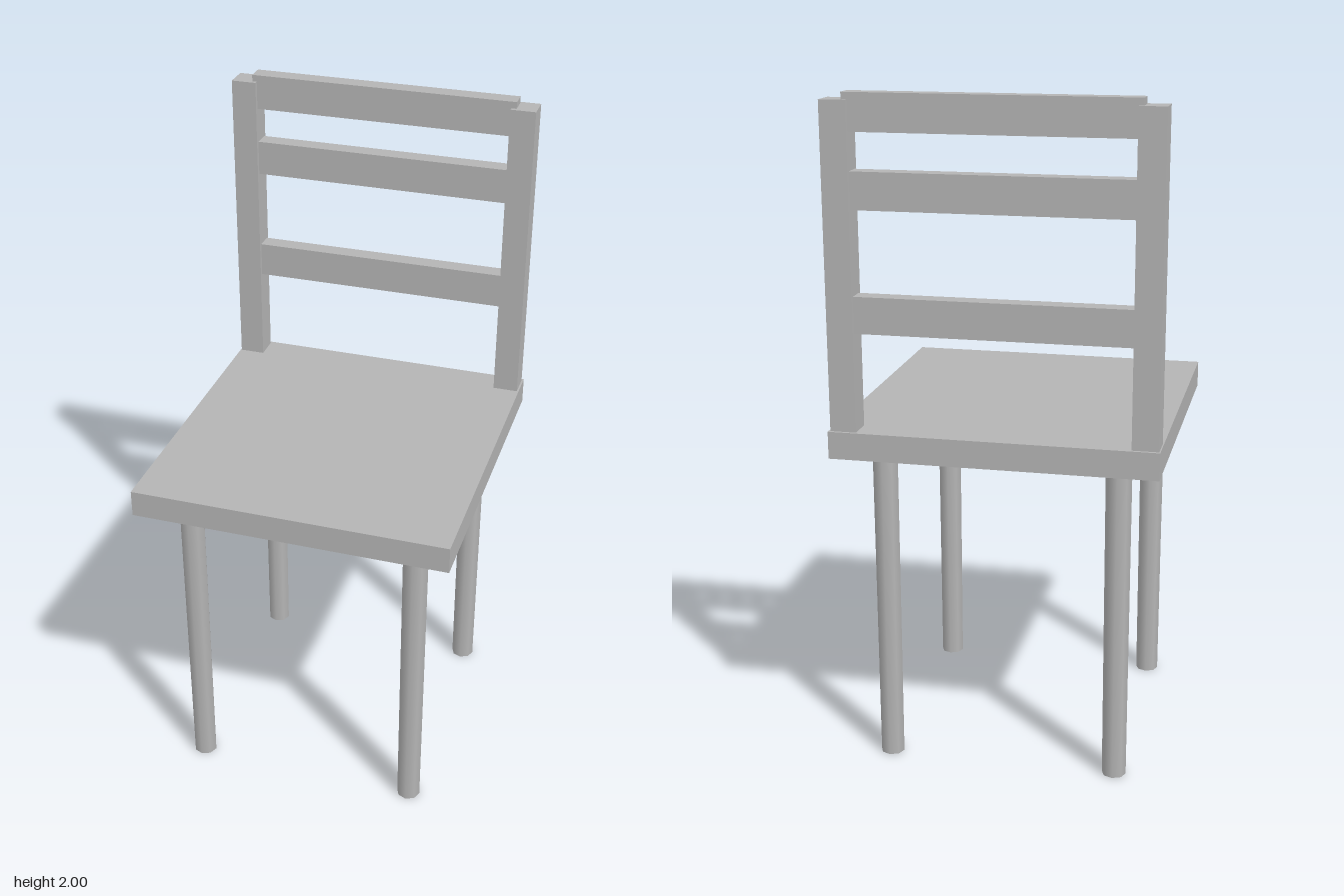
import * as THREE from 'three';

export function createModel() {
  const chair = new THREE.Group();
  chair.name = 'chair';
  const grey = new THREE.MeshStandardMaterial({ color: 0xb4b4b4 });
  grey.name = 'grey';

  function add(name, geometry, x, y, z) {
    const mesh = new THREE.Mesh(geometry, grey);
    mesh.name = name;
    mesh.position.set(x, y, z);
    chair.add(mesh);
    return mesh;
  }

  // Seat slab
  add('seat', new THREE.BoxGeometry(0.945, 0.08, 0.988), 0, 1.015, 0);

  // Round legs with a slight taper
  const leg = new THREE.CylinderGeometry(0.038, 0.036, 0.98, 8);
  for (const [side, x] of [['left', 0.345], ['right', -0.342]]) {
    add(side + 'FrontLeg', leg, x, 0.49, 0.365);
    add(side + 'BackLeg', leg, x, 0.49, -0.365);
  }

  // Back posts, let into the seat
  const post = new THREE.BoxGeometry(0.076, 0.98, 0.075);
  add('leftBackPost', post, 0.429, 1.49, -0.448);
  add('rightBackPost', post, -0.431, 1.49, -0.448);

  // Three rails, with their ends let into the posts
  const rail = new THREE.BoxGeometry(0.814, 0.105, 0.053);
  for (const [name, y] of [['topRail', 1.9475], ['middleRail', 1.737], ['lowerRail', 1.392]]) {
    add(name, rail, 0, y, -0.449);
  }

  return chair;
}
